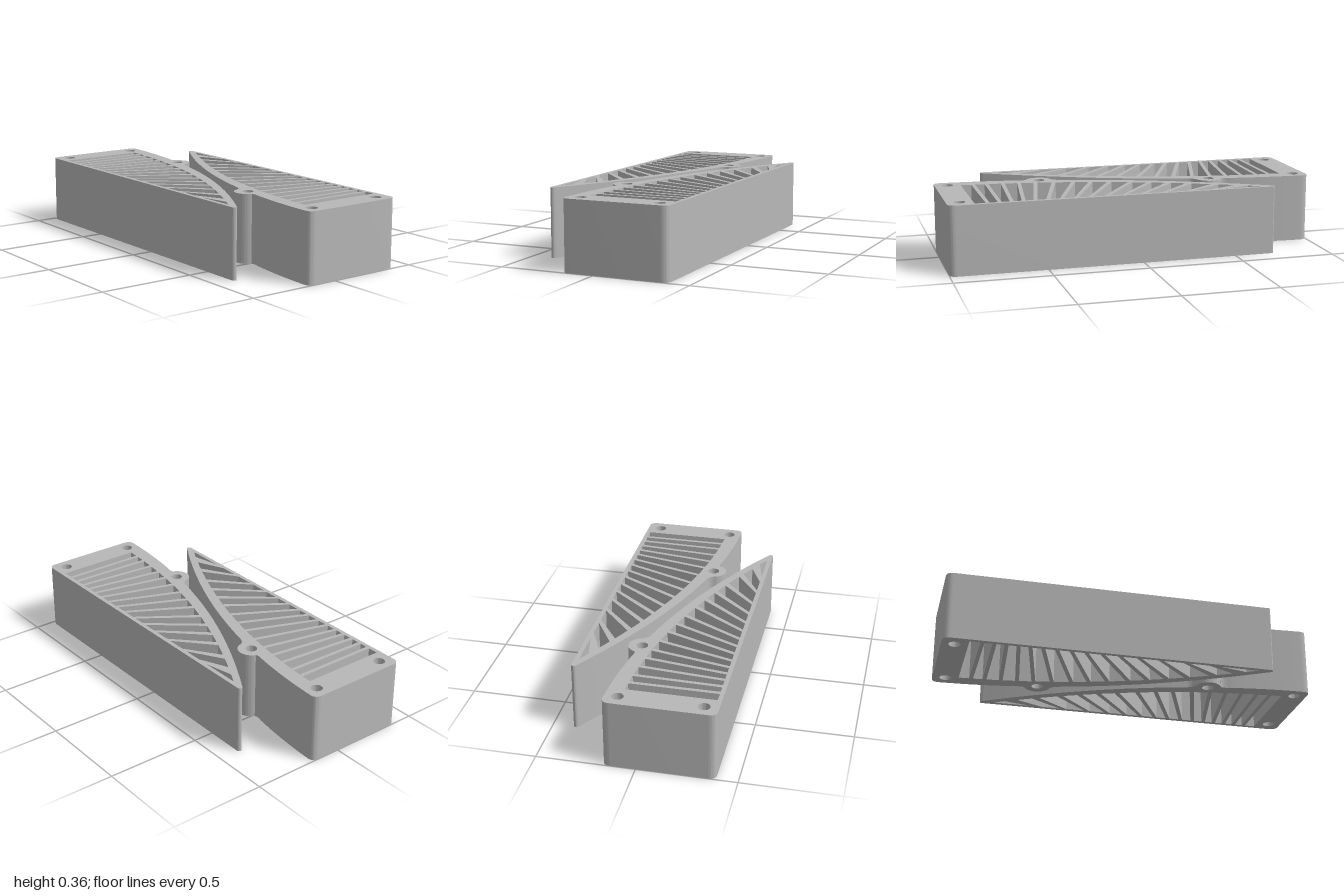
import * as THREE from 'three';
import { toCreasedNormals } from 'three/addons/utils/BufferGeometryUtils.js';

const HEIGHT = 0.36;
const FRONT = 0.393;        // straight long edge
const SLOT_FRONT = 0.371;   // slot end beside the long edge
const SLAT = 0.02;
const BOSS = [-0.445, -0.097];

// z of the curved outer edge, and of the slot ends just inside it
const outer = x => -0.165 + 0.173 * (x + 1.05) ** 2;
const inner = x => Math.min(SLOT_FRONT, outer(x) + 0.08 - 0.026 * (x + 0.865));

// x of each fanned slat at the straight edge and at the curved edge
const slats = [
  [-0.80, -0.80], [-0.74, -0.73], [-0.68, -0.645], [-0.62, -0.56], [-0.56, -0.475],
  [-0.495, -0.38], [-0.425, -0.28], [-0.35, -0.19], [-0.275, -0.095], [-0.19, 0.01],
  [-0.10, 0.105], [0, 0.20], [0.115, 0.30], [0.25, 0.425], [0.40, 0.55],
];

function curveTo(shape, x0, x1, n) {
  for (let i = 0; i <= n; i++) {
    const x = x0 + (x1 - x0) * i / n;
    shape.lineTo(x, outer(x));
  }
}

// Fin outline with rounded corners, a screw boss and a pointed tip
function finShape() {
  const s = new THREE.Shape();
  const r = 0.04;
  s.moveTo(-1, FRONT - r);
  s.lineTo(-1, -0.163 + r);
  s.quadraticCurveTo(-1, -0.165, -0.96, outer(-0.96));
  curveTo(s, -0.94, -0.56, 8);
  s.quadraticCurveTo(-0.525, -0.113, -0.511, -0.122);
  s.absarc(BOSS[0], BOSS[1], 0.07, Math.PI * 1.11, Math.PI * 1.92, false);
  s.quadraticCurveTo(-0.37, -0.085, -0.33, outer(-0.33));
  curveTo(s, -0.31, 0.695, 24);
  s.quadraticCurveTo(0.725, 0.378, 0.705, FRONT);
  s.lineTo(-1 + r, FRONT);
  s.quadraticCurveTo(-1, FRONT, -1, FRONT - r);
  return s;
}

// Openings left between neighbouring slats
function slotHoles() {
  const sides = slats.map(([b, t]) => {
    const dz = SLOT_FRONT - inner(t);
    const shift = SLAT / 2 * Math.hypot(t - b, dz) / dz;
    return { b, t, shift };
  });
  const lefts = [[-0.865, -0.865], ...sides.map(s => [s.b + s.shift, s.t + s.shift])];
  const rights = [...sides.map(s => [s.b - s.shift, s.t - s.shift]), [0.63, 0.64]];
  return lefts.map(([b0, t0], i) => {
    const [b1, t1] = rights[i];
    const p = new THREE.Path();
    p.moveTo(b0, SLOT_FRONT);
    for (let k = 0; k <= 4; k++) {
      const x = t0 + (t1 - t0) * k / 4;
      p.lineTo(x, inner(x));
    }
    if (i < slats.length) p.lineTo(b1, SLOT_FRONT);
    p.closePath();
    return p;
  });
}

function screwHole(x, z) {
  const p = new THREE.Path();
  p.absarc(x, z, 0.03, 0, Math.PI * 2, true);
  return p;
}

export function createModel() {
  const model = new THREE.Group();
  model.name = 'ventCoverPair';
  const grey = new THREE.MeshStandardMaterial({ color: 0xb8b8b8 });
  grey.name = 'grey';

  const shape = finShape();
  shape.holes.push(
    ...slotHoles(),
    screwHole(-0.933, -0.097), screwHole(-0.933, 0.32), screwHole(...BOSS),
  );
  let geometry = new THREE.ExtrudeGeometry(shape, { depth: HEIGHT, bevelEnabled: false, curveSegments: 20 });
  geometry.rotateX(Math.PI / 2).translate(0, HEIGHT, 0);
  geometry = toCreasedNormals(geometry, Math.PI / 6);

  // The second vent is the first turned half way round
  ['frontVent', 'backVent'].forEach((name, i) => {
    const vent = new THREE.Mesh(geometry, grey);
    vent.name = name;
    vent.rotation.y = i * Math.PI;
    model.add(vent);
  });
  return model;
}
